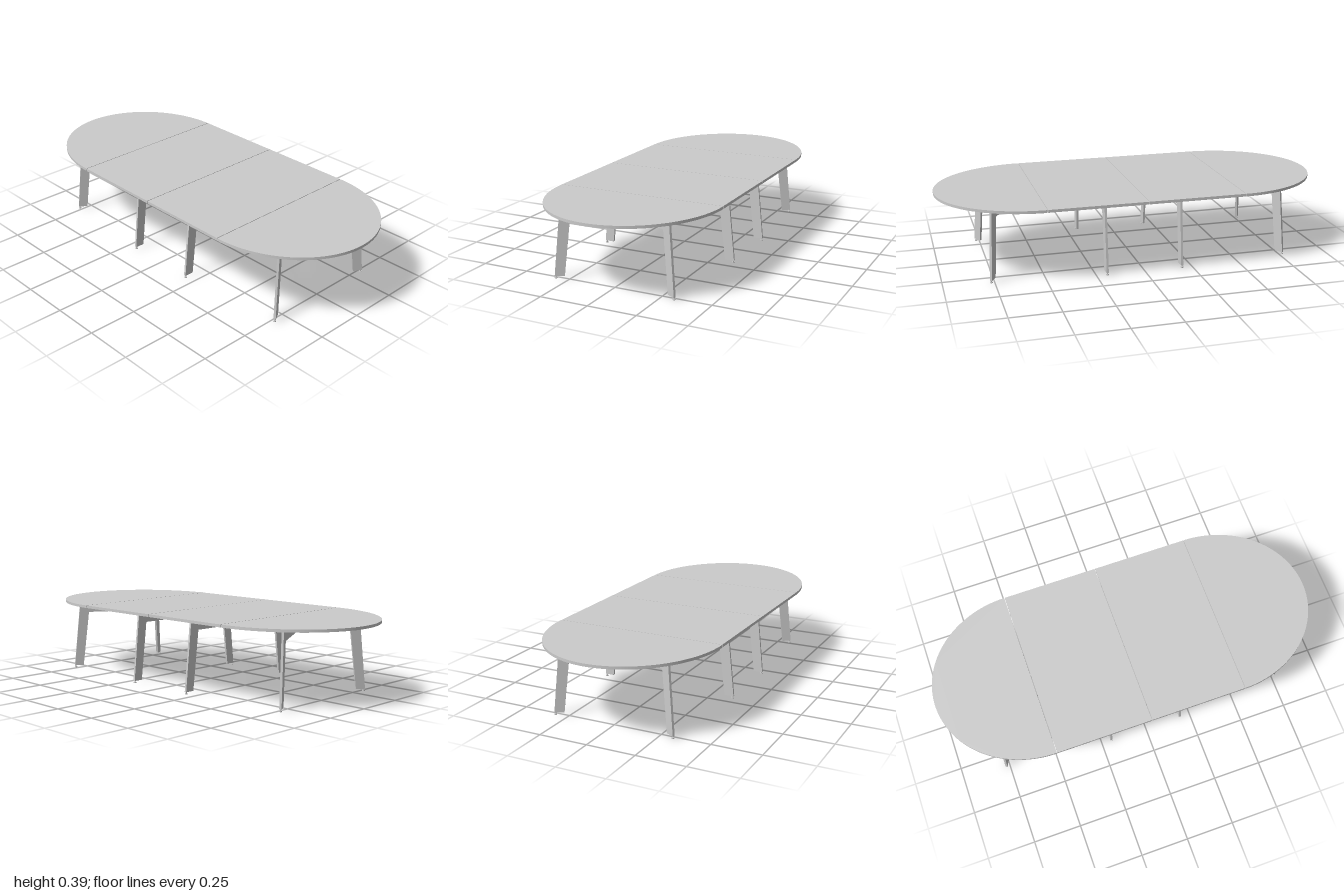
import * as THREE from 'three';

const material = new THREE.MeshStandardMaterial({ color: 0xcccccc });
const TOP_Y = 0.374, TOP_T = 0.014, HALF_W = 0.44, GAP = 0.0015;
const RAIL_Y = 0.315, RAIL_TOP = 0.361, THICK = 0.011;
const HUB_X = 0.583, MID_X = 0.195;

function add(parent, geometry, name, x = 0, y = 0, z = 0) {
  const mesh = new THREE.Mesh(geometry, material);
  mesh.name = name;
  mesh.position.set(x, y, z);
  parent.add(mesh);
  return mesh;
}

// Flat board cut from a plan shape drawn in x and z
function board(shape) {
  const g = new THREE.ExtrudeGeometry(shape, { depth: TOP_T, bevelEnabled: false, curveSegments: 48 });
  return g.rotateX(-Math.PI / 2);
}

function disc(parent, name, radius, x, y0, y1) {
  add(parent, new THREE.CylinderGeometry(radius, radius, y1 - y0, 16), name, x, (y0 + y1) / 2, 0);
}

// One arm running outward along +x, bending down into a splayed leg
function createArm(padR) {
  const arm = new THREE.Group();
  arm.name = 'legArm';
  const s = new THREE.Shape([
    [0, RAIL_Y], [0.288, RAIL_Y], [0.324, 0.012], [0.373, 0.012], [0.337, RAIL_TOP], [0, RAIL_TOP],
  ].map(([x, y]) => new THREE.Vector2(x, y)));
  const g = new THREE.ExtrudeGeometry(s, { depth: THICK, bevelEnabled: false });
  add(arm, g.translate(0, 0, -THICK / 2), 'armAndLeg');
  // Levelling foot
  disc(arm, 'footStem', 0.003, 0.367, 0.004, 0.014);
  disc(arm, 'footPad', 0.007, 0.367, 0, 0.005);
  // Pad that carries the top
  disc(arm, 'supportStem', 0.003, padR, RAIL_TOP - 0.002, 0.37);
  disc(arm, 'supportPad', 0.01, padR, 0.368, TOP_Y);
  return arm;
}

export function createModel() {
  const table = new THREE.Group();
  table.name = 'conferenceTable';

  // Two rectangular middle panels and two half-oval end panels
  for (const side of [1, -1]) {
    const w = 0.5 - 2 * GAP;
    add(table, new THREE.BoxGeometry(w, TOP_T, 2 * HALF_W), 'middlePanel', side * 0.25, TOP_Y + TOP_T / 2, 0);

    const half = new THREE.Shape();
    half.moveTo(0, -HALF_W);
    half.absellipse(0, 0, 0.5 - GAP, HALF_W, -Math.PI / 2, Math.PI / 2, false, 0);
    half.closePath();
    const end = add(table, board(half), 'endPanel', side * (0.5 + GAP), TOP_Y, 0);
    if (side < 0) end.rotation.y = Math.PI;
  }

  // Long spine rail under the top
  add(table, new THREE.BoxGeometry(2 * HUB_X, RAIL_TOP - RAIL_Y, THICK), 'spineRail', 0, (RAIL_Y + RAIL_TOP) / 2, 0);

  // Cross arms in the middle, arms splayed at 60 degrees at the ends
  for (const sx of [1, -1]) {
    for (const sz of [1, -1]) {
      const middle = createArm(0.28);
      middle.position.x = sx * MID_X;
      middle.rotation.y = -sz * Math.PI / 2;
      const corner = createArm(0.272);
      corner.position.x = sx * HUB_X;
      corner.rotation.y = -sz * (sx > 0 ? Math.PI / 3 : 2 * Math.PI / 3);
      table.add(middle, corner);
    }
  }
  return table;
}
